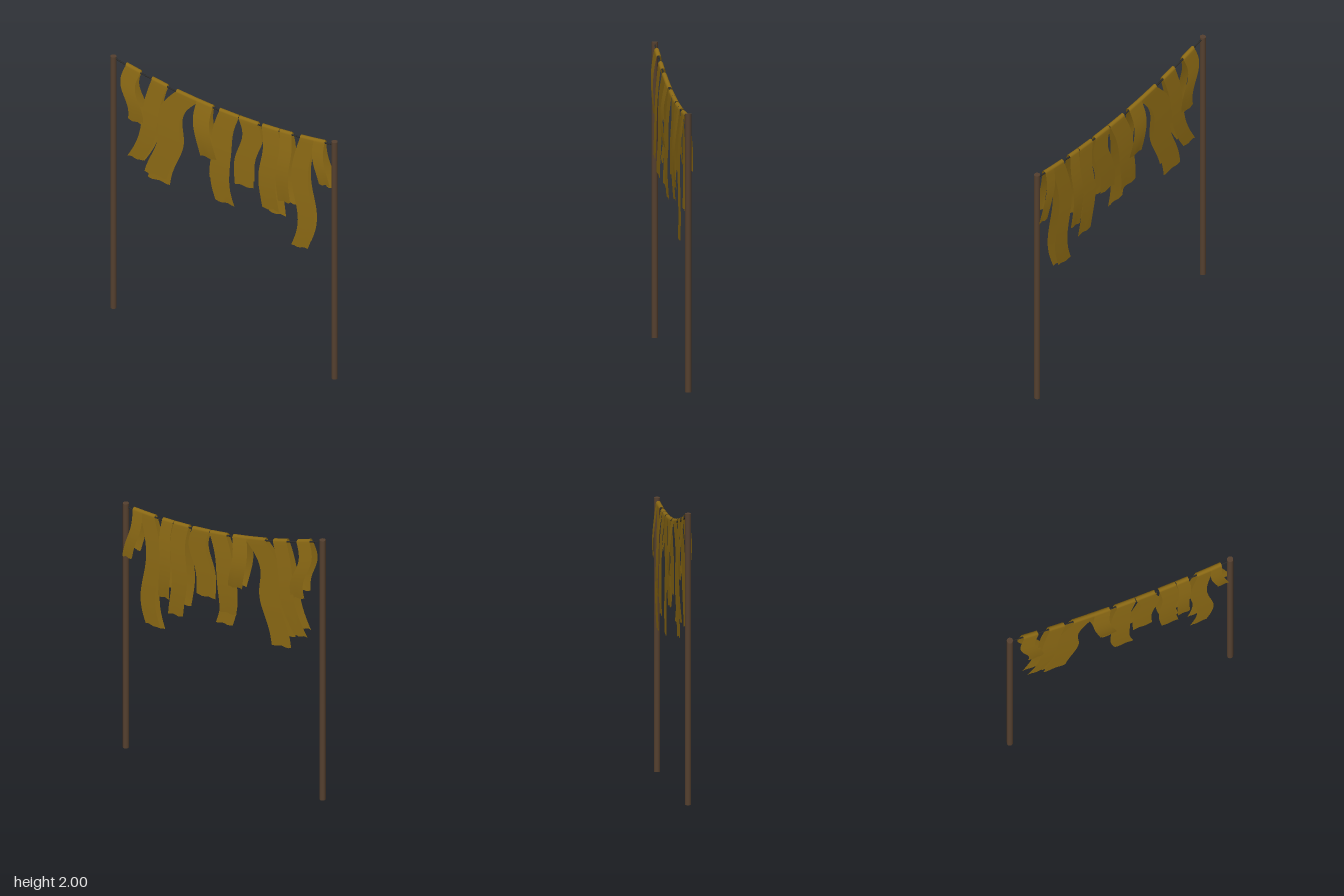
import * as THREE from 'three';

const wood = new THREE.MeshStandardMaterial({ color: 0x55402f });
const cord = new THREE.MeshStandardMaterial({ color: 0x2a2a2a });
const cloth = new THREE.MeshStandardMaterial({ color: 0x8b6914, side: THREE.DoubleSide });

// Sagging line between the pole tops
const line = new THREE.QuadraticBezierCurve3(
  new THREE.Vector3(-0.76, 1.99, 0), new THREE.Vector3(0, 1.698, 0), new THREE.Vector3(0.755, 1.735, 0));

// x on the line, hem height, width, depth, sideways lean, waves (half, one and
// one and a half turns), gap (+ front hem is shorter, - back hem is shorter)
const strips = [
  [-0.62, 1.535, 0.1, 0.036, 0.015, [-0.014, -0.024, 0], 0.08],
  [-0.44, 1.265, 0.105, 0.03, -0.18, [0.027, -0.018, 0], 0.05],
  [-0.25, 1.14, 0.15, 0.022, -0.225, [-0.03, -0.03, -0.022], 0.09],
  [-0.13, 1.435, 0.11, 0.045, 0.035, [-0.024, -0.006, 0], -0.05],
  [0.035, 1.125, 0.13, 0.032, -0.02, [-0.045, 0, -0.008], -0.18],
  [0.17, 1.28, 0.13, 0.021, -0.025, [0.008, 0.022, 0.006], -0.05],
  [0.32, 1.1, 0.115, 0.036, 0.015, [-0.012, 0.013, 0.007], 0.09],
  [0.425, 1.2, 0.083, 0.045, 0, [-0.006, 0.007, 0.004], 0.08],
  [0.58, 0.93, 0.112, 0.03, -0.055, [-0.006, -0.034, 0.005], -0.04],
  [0.655, 1.39, 0.075, 0.034, 0.048, [-0.015, -0.007, 0], 0.12],
];

// A sheet folded over the line: up the back, round the top, down the front
function stripGeometry([x, hem, width, depth, lean, waves, gap]) {
  const across = 6, down = 24, fold = 6, r = 0.016;
  const t0 = (x + 0.76) / 1.515;
  const top = line.getPoint(t0).y + 0.02;
  const tangent = line.getTangent(t0);
  const slope = tangent.y / tangent.x;

  const hang = (t, side) => {
    const s = t * (1 - Math.max(gap * side, 0));
    const sway = waves.reduce((sum, a, k) => sum + a * Math.sin(Math.PI * (k + 1) * s), lean * s);
    return {
      x: x + sway + (side < 0 ? 0.2 * gap * t : 0),
      y: top + (hem - top) * s - r * (1 - t),
      z: side * (r + (depth - r) * Math.sin(Math.PI * 0.8 * t)),
      t,
    };
  };
  const rows = [];
  for (let i = down; i >= 0; i--) rows.push(hang(i / down, -1));
  for (let i = 1; i < fold; i++) {
    const a = Math.PI * (1 - i / fold);
    rows.push({ x, y: top - r + r * Math.sin(a), z: r * Math.cos(a), t: 0 });
  }
  for (let i = 0; i <= down; i++) rows.push(hang(i / down, 1));

  const g = new THREE.PlaneGeometry(1, 1, across, rows.length - 1);
  rows.forEach((p, j) => {
    for (let i = 0; i <= across; i++) {
      const u = i / across - 0.5;
      // rows follow the slope of the line, with a slight ripple at the hem
      const ripple = 0.005 * p.t * p.t * Math.sin(u * 9 + x * 20);
      const tilt = u * width * slope * (1 - 0.4 * p.t);
      g.attributes.position.setXYZ(j * (across + 1) + i, p.x + u * width, p.y + tilt + ripple, p.z);
    }
  });
  g.computeVertexNormals();
  return g;
}

export function createModel() {
  const model = new THREE.Group();
  const add = (name, geometry, material) => {
    const mesh = new THREE.Mesh(geometry, material);
    mesh.name = name;
    model.add(mesh);
    return mesh;
  };

  // Two poles standing at different heights
  const pole = (name, x, y0, y1) =>
    add(name, new THREE.CylinderGeometry(0.02, 0.02, y1 - y0, 12), wood).position.set(x, (y0 + y1) / 2, 0);
  pole('rightPole', -0.76, 0.13, 2);
  pole('leftPole', 0.755, 0, 1.76);

  add('line', new THREE.TubeGeometry(line, 40, 0.005, 8), cord);

  // Cloth strips draped over the line
  strips.forEach((s, i) => add('clothStrip' + (i + 1), stripGeometry(s), cloth));
  return model;
}
